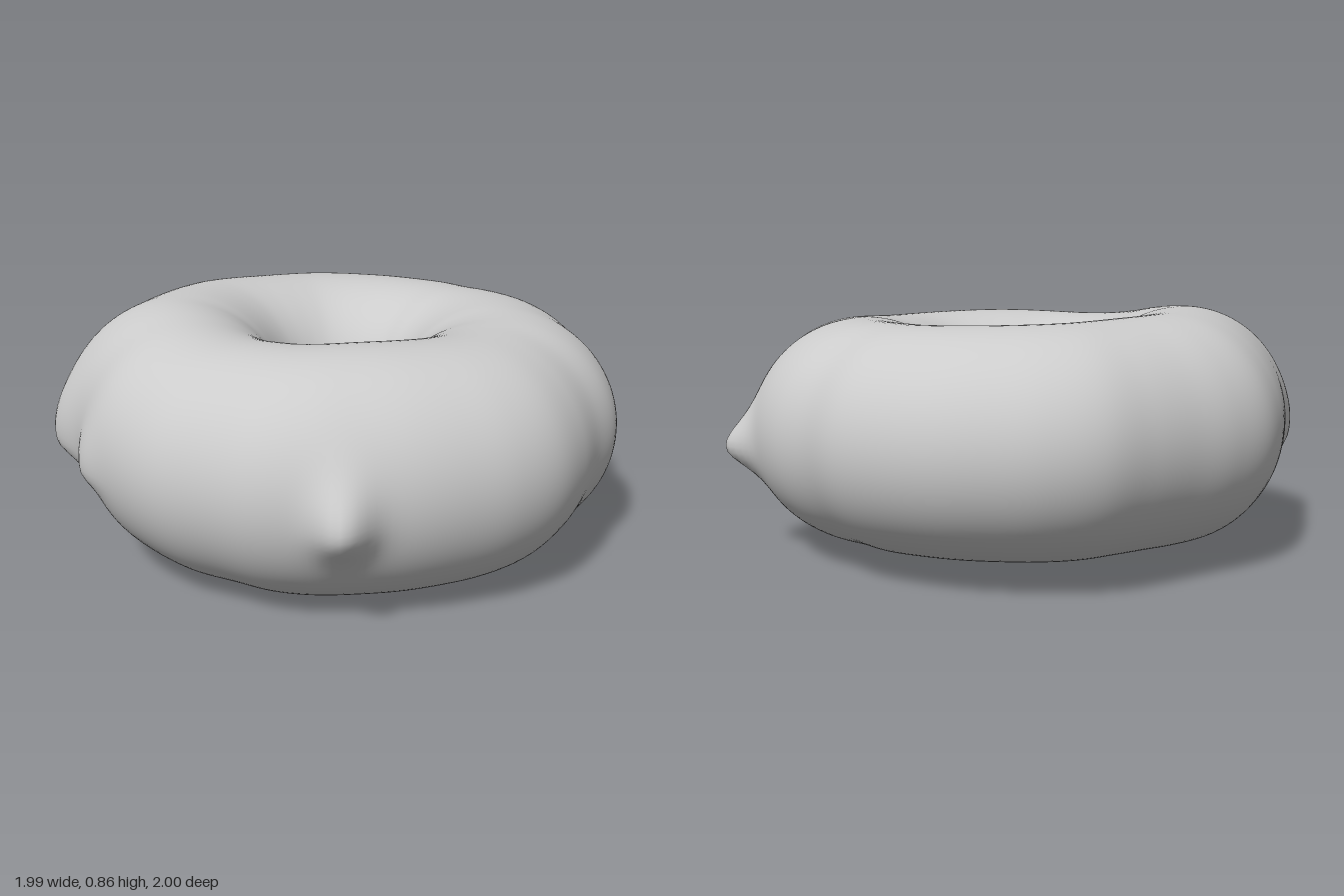
import * as THREE from 'three';

// Outer radius every 10 degrees, turning from +x towards +z
const OUTER = [
  0.985, 1.005, 1.0, 0.985, 0.98, 0.98, 0.995, 1.0, 0.985,
  1.0, 1.0, 1.0, 0.985, 1.0, 1.02, 0.985, 0.975, 0.985,
  1.0, 0.985, 0.97, 0.985, 1.02, 1.025, 1.015, 1.01, 1.0,
  0.995, 0.97, 0.99, 0.995, 0.985, 0.975, 1.0, 1.0, 0.97,
];
// Crest height every 45 degrees
const CREST = [0.815, 0.825, 0.815, 0.86, 0.85, 0.83, 0.82, 0.825];

// Knobs: angle in degrees, height, push outwards, spread sideways, down and up
const KNOBS = [
  { angle: 53.5, y: 0.37, push: 0.09, side: 0.06, down: 0.07, up: 0.1 },
  { angle: 134, y: 0.37, push: 0.06, side: 0.085, down: 0.05, up: 0.16 },
  { angle: 114, y: 0.37, push: 0.03, side: 0.07, down: 0.04, up: 0.1 },
  { angle: 308, y: 0.38, push: 0.095, side: 0.065, down: 0.06, up: 0.075 },
];

// Smooth periodic interpolation through a ring of values, t in 0..1
function ringValue(values, t) {
  const n = values.length;
  const i = Math.floor(t * n);
  const f = t * n - i;
  const [p, q, r, s] = [-1, 0, 1, 2].map((k) => values[(i + k + n) % n]);
  return q + 0.5 * f * (r - p + f * (2 * p - 5 * q + 4 * r - s + f * (3 * (q - r) + s - p)));
}

// Extra radius from the knobs at a point on the outer wall
function knobPush(angle, y) {
  let sum = 0;
  for (const k of KNOBS) {
    const d = angle - THREE.MathUtils.degToRad(k.angle);
    const across = Math.atan2(Math.sin(d), Math.cos(d)) / k.side;
    const along = (y - k.y) / (y < k.y ? k.down : k.up);
    sum += k.push * Math.exp(-0.5 * (across * across + along * along));
  }
  return sum;
}

// Lumpy ring swept from round cross-sections
function ringGeometry(around, tube) {
  const positions = [];
  const index = [];
  for (let i = 0; i < around; i++) {
    const a = (i / around) * Math.PI * 2;
    const cos = Math.cos(a);
    const sin = Math.sin(a);
    const outer = ringValue(OUTER, i / around);
    const inner = 0.19 - 0.025 * cos;
    const top = ringValue(CREST, i / around);
    const bottom = 0.034 - 0.024 * (cos + sin);
    const middle = (top + bottom) / 2;
    for (let j = 0; j < tube; j++) {
      const b = (j / tube) * Math.PI * 2;
      const y = middle + ((top - bottom) / 2) * Math.sin(b);
      let r = (outer + inner) / 2 + ((outer - inner) / 2) * Math.cos(b);
      if (Math.cos(b) > 0) r += knobPush(a, y) * Math.min(1, Math.cos(b) * 2);
      positions.push(r * cos, y, r * sin);

      const i2 = (i + 1) % around;
      const j2 = (j + 1) % tube;
      const p = i * tube + j;
      const up = i * tube + j2;
      const next = i2 * tube + j;
      const both = i2 * tube + j2;
      index.push(p, up, next, up, both, next);
    }
  }
  const geometry = new THREE.BufferGeometry();
  geometry.setAttribute('position', new THREE.Float32BufferAttribute(positions, 3));
  geometry.setIndex(index);
  geometry.computeVertexNormals();
  return geometry;
}

export function createModel() {
  const group = new THREE.Group();
  group.name = 'doughnut';
  const ring = new THREE.Mesh(
    ringGeometry(240, 112),
    new THREE.MeshStandardMaterial({ color: 0xcccccc })
  );
  ring.name = 'lumpyRing';
  group.add(ring);
  return group;
}
